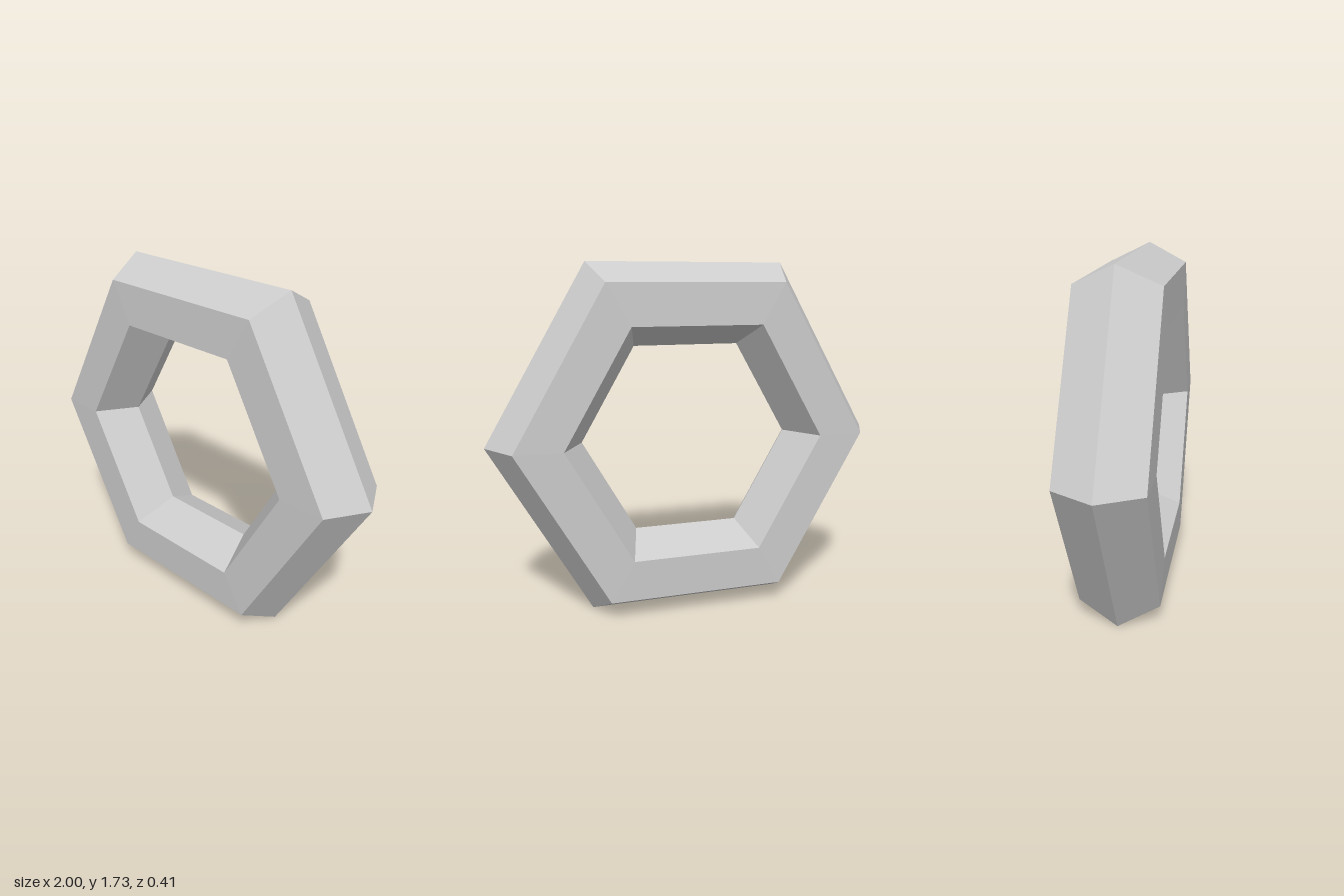
import * as THREE from 'three';

export function createModel() {
  const group = new THREE.Group();
  group.name = 'hexagonalRing';

  const grey = new THREE.MeshStandardMaterial({ color: 0xcccccc, flatShading: true });
  grey.name = 'light grey';

  // Faceted cross-section (radius, depth): outer ridge, faces tapering slightly outward, inner ridge
  const half = [[1, 0], [0.889, 0.2], [0.655, 0.205], [0.536, 0]];
  const back = half.slice(0, 3).reverse().map(([r, z]) => [r, -z]);
  const profile = [...half, ...back].map(([r, z]) => new THREE.Vector2(r, z));

  // Six-sided sweep with corners on the x axis, stood upright
  const geometry = new THREE.LatheGeometry(profile, 6, Math.PI / 2);
  geometry.rotateX(Math.PI / 2);

  const ring = new THREE.Mesh(geometry, grey);
  ring.name = 'ring';
  ring.position.y = Math.sqrt(3) / 2;
  group.add(ring);
  return group;
}
